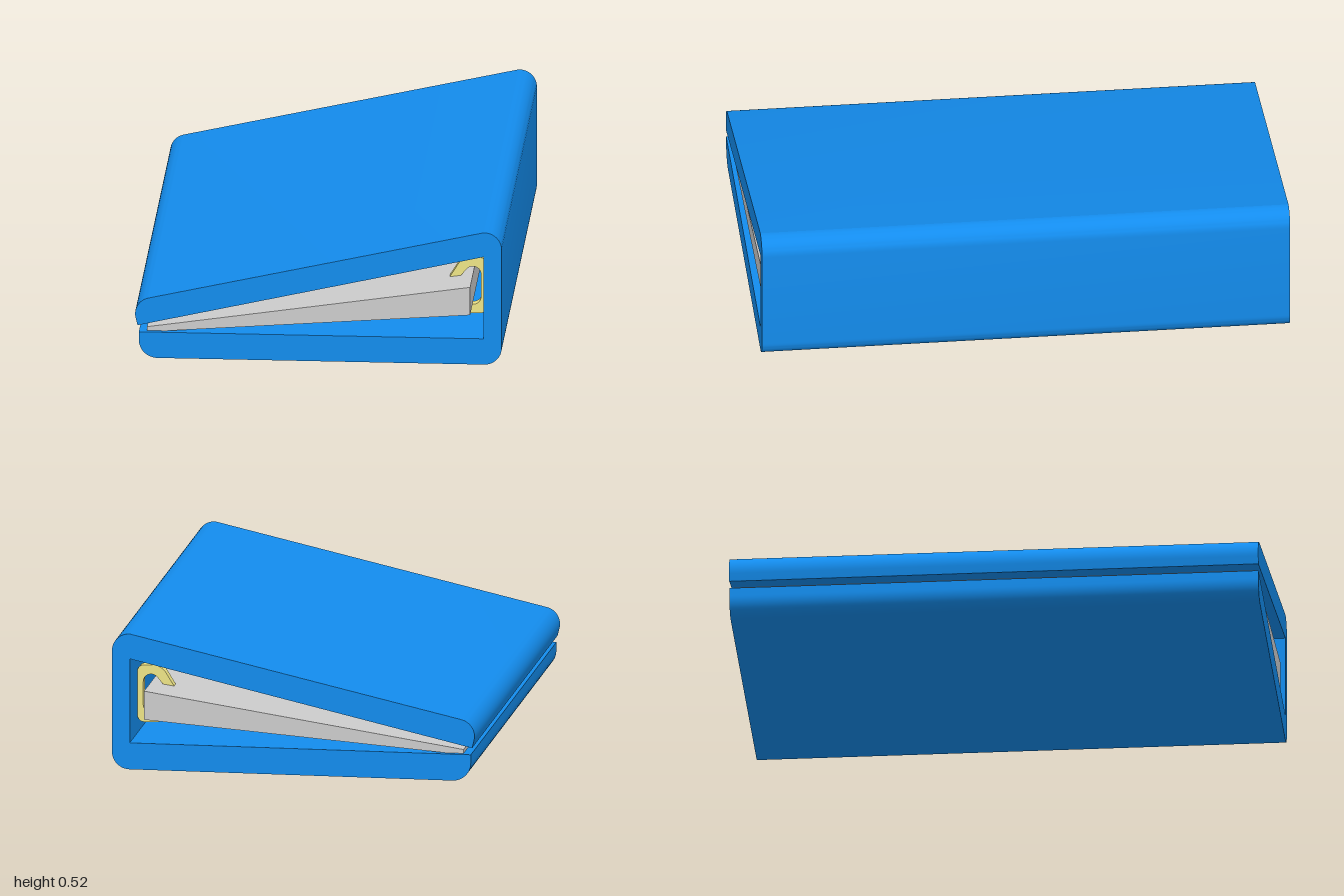
import * as THREE from 'three';
import { toCreasedNormals } from 'three/addons/utils/BufferGeometryUtils.js';

const blue = new THREE.MeshStandardMaterial({ color: 0x138ced });
const grey = new THREE.MeshStandardMaterial({ color: 0xcccccc });
const brass = new THREE.MeshStandardMaterial({ color: 0xeee486 });

// Polygon outline; a corner given as [x, y, r] is rounded with radius r
function outline(corners, path = new THREE.Shape()) {
  const n = corners.length;
  corners.forEach(([x, y, r = 0], i) => {
    const c = new THREE.Vector2(x, y);
    const toPrev = new THREE.Vector2(...corners[(i + n - 1) % n].slice(0, 2)).sub(c).normalize();
    const toNext = new THREE.Vector2(...corners[(i + 1) % n].slice(0, 2)).sub(c).normalize();
    const half = Math.acos(toPrev.dot(toNext)) / 2;
    const cut = r / Math.tan(half);
    const a = c.clone().addScaledVector(toPrev, cut);
    const b = c.clone().addScaledVector(toNext, cut);
    if (i === 0) path.moveTo(a.x, a.y);
    else path.lineTo(a.x, a.y);
    if (r > 0) {
      const k = (4 / 3) * Math.tan((Math.PI / 2 - half) / 2) * r;
      const p = a.clone().addScaledVector(toPrev, -k);
      const q = b.clone().addScaledVector(toNext, -k);
      path.bezierCurveTo(p.x, p.y, q.x, q.y, b.x, b.y);
    }
  });
  path.closePath();
  return path;
}

// Extrude a cross-section along z, centred on z
function part(name, shape, depth, material, z = 0) {
  const geo = new THREE.ExtrudeGeometry(shape, { depth, bevelEnabled: false, curveSegments: 12 });
  geo.translate(0, 0, z - depth / 2);
  const mesh = new THREE.Mesh(toCreasedNormals(geo, 0.5), material);
  mesh.name = name;
  return mesh;
}

export function createModel() {
  const binder = new THREE.Group();
  binder.name = 'ringBinder';

  // Covers and spine
  binder.add(part('lowerCover', outline([
    [-0.68, 0, 0.07], [0.622, 0], [0.622, 0.102], [-0.68, 0.102],
  ]), 2, blue));
  binder.add(part('upperCover', outline([
    [-0.685, 0.128], [0.622, 0.426], [0.622, 0.522], [-0.708, 0.222, 0.065],
  ]), 2, blue));
  binder.add(part('spine', outline([
    [0.622, 0], [0.69, 0, 0.066], [0.69, 0.522, 0.066], [0.622, 0.522],
  ]), 2, blue));

  // Wedge-shaped stack of paper
  binder.add(part('paperStack', outline([
    [-0.65, 0.103], [-0.58, 0.103], [0.57, 0.19], [0.57, 0.3], [-0.65, 0.118],
  ]), 1.97, grey));

  // D-shaped rings fixed to the spine
  const ring = outline([
    [0.622, 0.145, 0.025], [0.622, 0.365, 0.025], [0.53, 0.365, 0.06],
    [0.475, 0.275, 0.03], [0.475, 0.205, 0.03], [0.53, 0.145, 0.05],
  ]);
  ring.holes.push(outline([
    [0.6, 0.18, 0.03], [0.555, 0.18, 0.03], [0.51, 0.215, 0.015],
    [0.51, 0.275, 0.015], [0.555, 0.33, 0.03], [0.6, 0.33, 0.03],
  ], new THREE.Path()));
  for (const z of [-0.8, 0, 0.8]) binder.add(part('ring', ring, 0.04, brass, z));

  return binder;
}
